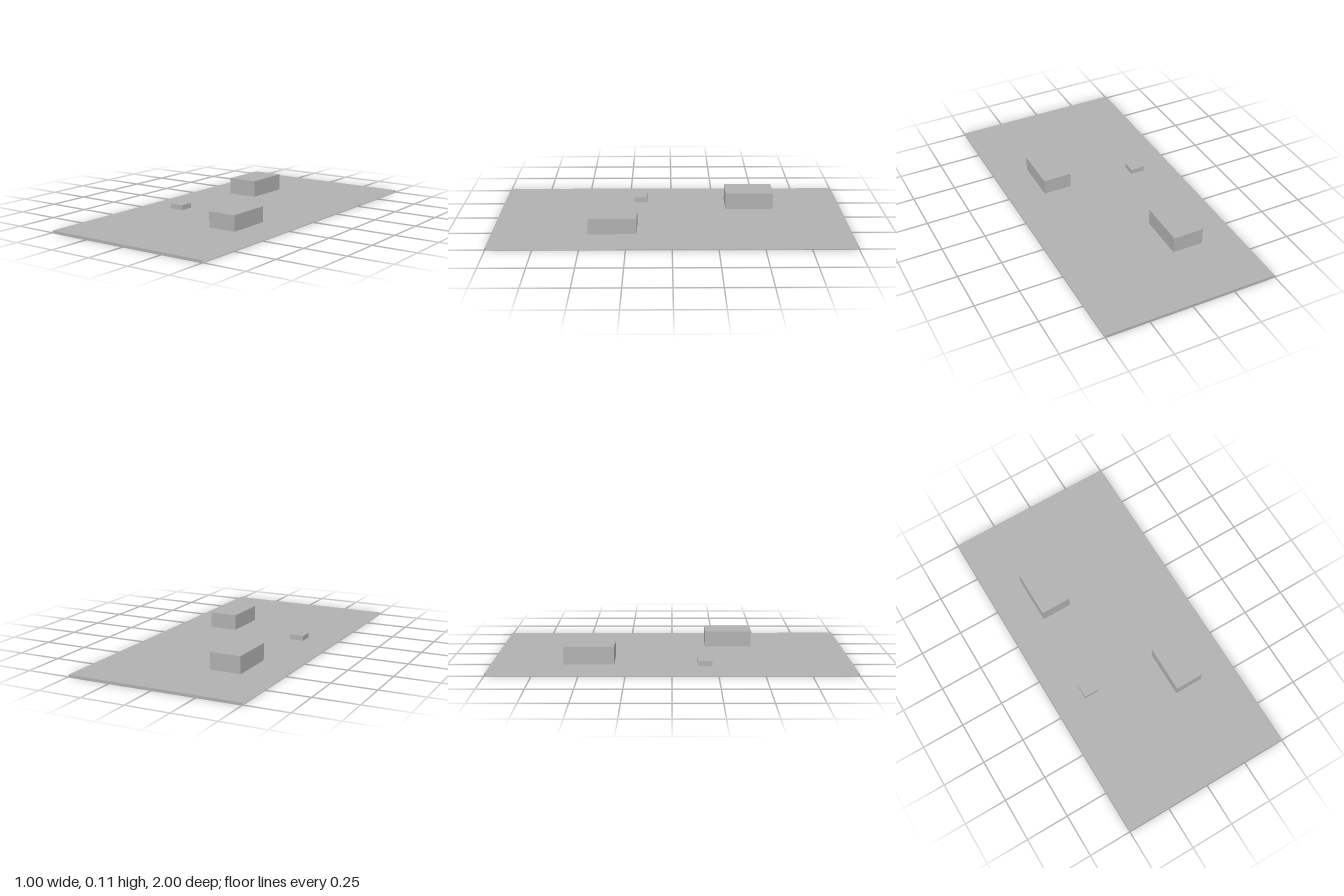
import * as THREE from 'three';

const THICK = 0.012;

export function createModel() {
  const group = new THREE.Group();
  const grey = new THREE.MeshStandardMaterial({ color: 0xb0b0b0, side: THREE.DoubleSide });
  grey.name = 'plain grey';

  // Box given by its extents on each axis
  const block = (name, [x0, x1], [y0, y1], [z0, z1]) => {
    const mesh = new THREE.Mesh(new THREE.BoxGeometry(x1 - x0, y1 - y0, z1 - z0), grey);
    mesh.position.set((x0 + x1) / 2, (y0 + y1) / 2, (z0 + z1) / 2);
    mesh.name = name;
    group.add(mesh);
    return mesh;
  };

  // Thin base slab, open along its two long sides (the first 12 indices are the x faces)
  const slab = block('baseSlab', [-0.5, 0.5], [0, THICK], [-1, 1]).geometry;
  slab.setIndex(Array.from(slab.index.array).slice(12));
  slab.clearGroups();

  // Blocks standing on the slab
  block('rearBlock', [-0.292, -0.113], [THICK, 0.109], [-0.599, -0.319]);
  block('frontBlock', [0.135, 0.3], [THICK, 0.101], [0.195, 0.465]);
  block('smallBlock', [-0.327, -0.243], [THICK, 0.041], [0.143, 0.223]);

  return group;
}
